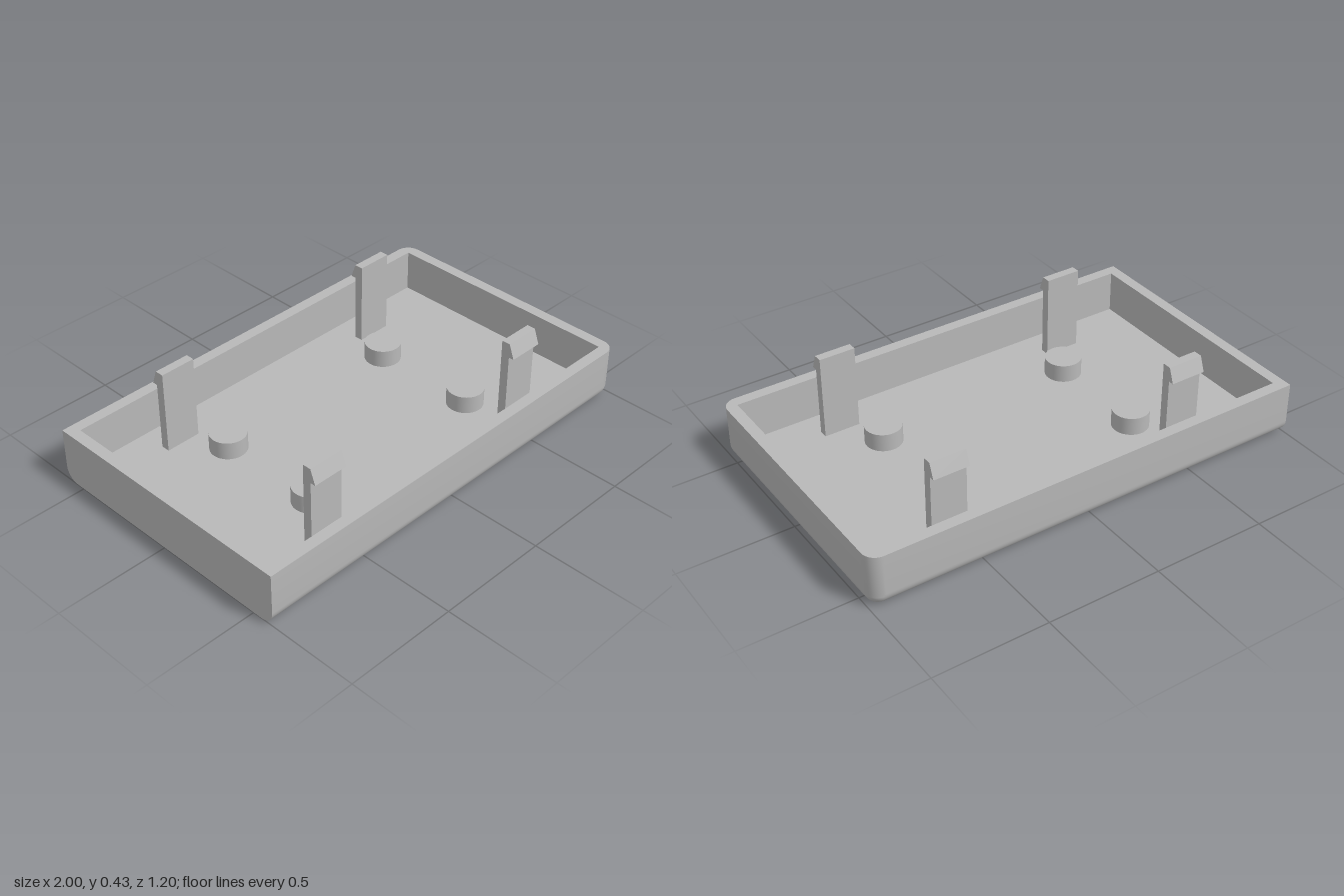
import * as THREE from 'three';
import { toCreasedNormals } from 'three/addons/utils/BufferGeometryUtils.js';

const HX = 1, HZ = 0.6, H = 0.24, R = 0.06;    // tray half sizes, height, edge radius
const WALL = 0.05, FLOOR = 0.05, POCKET = 0.025;
const ARC = 10;

const plastic = new THREE.MeshStandardMaterial({ color: 0xb8b8b8 });
plastic.name = 'grey plastic';

function mesh(name, geometry) {
  const m = new THREE.Mesh(geometry, plastic);
  m.name = name;
  return m;
}

// Skin between rings of [x, z] points, each at its own height
function loft(rings, closed) {
  const n = rings[0].points.length, pos = [], idx = [];
  for (const { y, points } of rings) for (const [x, z] of points) pos.push(x, y, z);
  for (let j = 0; j < rings.length - 1; j++) {
    for (let i = 0; i < (closed ? n : n - 1); i++) {
      const k = (i + 1) % n;
      const a = j * n + i, b = j * n + k, c = b + n, d = a + n;
      idx.push(a, b, d, b, c, d);
    }
  }
  const g = new THREE.BufferGeometry();
  g.setAttribute('position', new THREE.Float32BufferAttribute(pos, 3));
  g.setIndex(idx);
  return toCreasedNormals(g, 0.6);
}

const toShape = (pts) => new THREE.Shape(pts.map(([x, z]) => new THREE.Vector2(x, z)));

// Flat horizontal face facing up (+1) or down (-1)
function flat(outline, y, facing, hole) {
  const s = toShape(outline);
  if (hole) s.holes.push(toShape(hole));
  return new THREE.ShapeGeometry(s).rotateX(-facing * Math.PI / 2).translate(0, y, 0);
}

// Outline with a square end at -x and two rounded corners at +x
function outline(inset) {
  const pts = [[-HX, HZ - inset]], r = R - inset;
  for (const side of [1, -1]) {
    for (let i = 0; i <= ARC; i++) {
      const t = (side > 0 ? i : ARC - i) / ARC * Math.PI / 2;
      pts.push([HX - R + r * Math.sin(t), side * (HZ - R + r * Math.cos(t))]);
    }
  }
  pts.push([-HX, inset - HZ]);
  return pts;
}

const rect = (x, z) => [[-x, z], [x, z], [x, -z], [-x, -z]];

function createTray() {
  const tray = new THREE.Group();
  tray.name = 'tray';

  // Outer skin with rounded lower edges, and the square-cut end
  const rings = [], profile = [];
  for (let i = 0; i <= ARC; i++) {
    const t = i / ARC * Math.PI / 2;
    const y = R * (1 - Math.cos(t)), inset = R * (1 - Math.sin(t));
    rings.push({ y, points: outline(inset) });
    profile.push([HZ - inset, y]);
  }
  rings.push({ y: H, points: outline(0) });
  profile.push([HZ, H]);
  tray.add(mesh('outerWall', loft(rings, false)));
  const end = profile.concat(profile.map(([z, y]) => [-z, y]).reverse());
  tray.add(mesh('endWall', new THREE.ShapeGeometry(toShape(end)).rotateY(-Math.PI / 2).translate(-HX, 0, 0)));

  // Rim, inner walls and floor
  const inner = rect(HX - WALL, HZ - WALL);
  tray.add(mesh('rim', flat(outline(0), H, 1, inner)));
  tray.add(mesh('innerWalls', loft([{ y: H, points: inner }, { y: FLOOR, points: inner }], true)));
  tray.add(mesh('floor', flat(inner, FLOOR, 1)));

  // Underside with a cross-shaped recess
  const a = 0.03, b = 0.225;
  const cross = [[-a, b], [a, b], [a, a], [b, a], [b, -a], [a, -a],
    [a, -b], [-a, -b], [-a, -a], [-b, -a], [-b, a], [-a, a]];
  const base = [[-HX, HZ - R], [HX - R, HZ - R], [HX - R, R - HZ], [-HX, R - HZ]];
  tray.add(mesh('underside', flat(base, 0, -1, cross)));
  tray.add(mesh('recessWalls', loft([{ y: POCKET, points: cross }, { y: 0, points: cross }], true)));
  tray.add(mesh('recessTop', flat(cross, POCKET, -1)));
  return tray;
}

export function createModel() {
  const model = new THREE.Group();
  model.name = 'snapFitTray';
  model.add(createTray());

  // Snap clip profile (z, y), pushed out along x
  const width = 0.16;
  const clip = new THREE.ExtrudeGeometry(
    toShape([[0.397, FLOOR], [0.436, FLOOR], [0.436, 0.36], [0.46, 0.36], [0.436, 0.425], [0.397, 0.425]]),
    { depth: width, bevelEnabled: false }
  ).rotateY(-Math.PI / 2).translate(width / 2, 0, 0);

  // Round standoff
  const top = 0.13;
  const peg = new THREE.CylinderGeometry(0.08, 0.08, top - FLOOR, 48);

  for (const sx of [-1, 1]) {
    for (const sz of [-1, 1]) {
      const c = mesh('snapClip', clip);
      c.position.x = sx * 0.5625;
      c.rotation.y = sz > 0 ? 0 : Math.PI;
      const p = mesh('standoff', peg);
      p.position.set(sx * 0.455, (top + FLOOR) / 2, sz * 0.24);
      model.add(c, p);
    }
  }
  return model;
}
